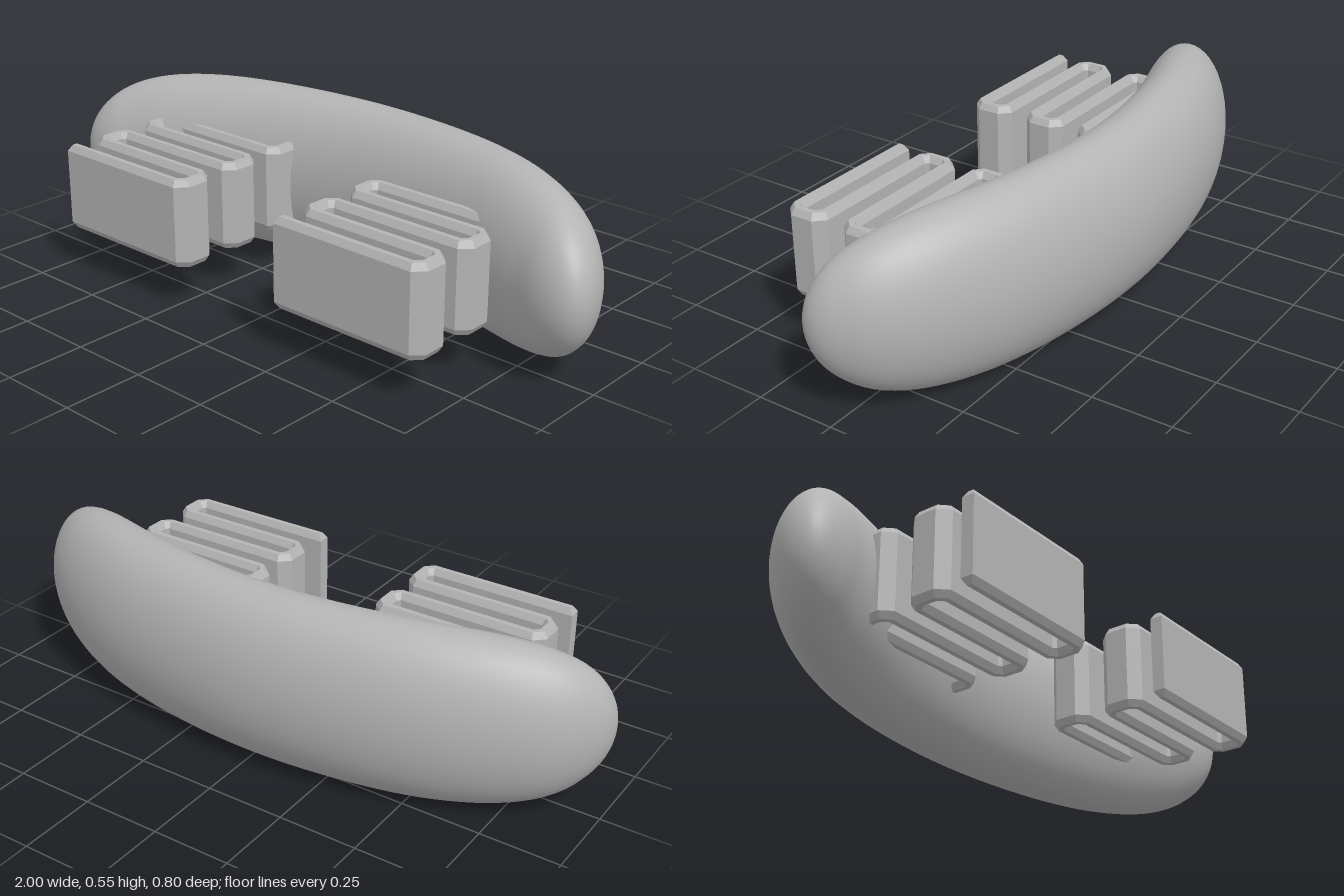
import * as THREE from 'three';
import { mergeVertices } from 'three/addons/utils/BufferGeometryUtils.js';

const grey = new THREE.MeshStandardMaterial({ color: 0xb4b4b4 });
grey.name = 'grey';

// Curved bar: a sphere stretched along a bowed centre line, with blunt rounded ends
function makeBar() {
  const half = [[0, -0.24], [0.3, -0.215], [0.55, -0.157], [0.8, -0.05], [0.9, 0.025], [0.975, 0.088]];
  const left = half.slice(1).reverse().map(([x, z]) => [-x, z]);
  const curve = new THREE.CatmullRomCurve3([...left, ...half].map(([x, z]) => new THREE.Vector3(x, 0, z)));
  let geo = new THREE.SphereGeometry(1, 48, 72).rotateZ(-Math.PI / 2);
  const pos = geo.attributes.position;
  for (let i = 0; i < pos.count; i++) {
    const t = THREE.MathUtils.clamp(pos.getX(i), -1, 1);
    const y = pos.getY(i), z = pos.getZ(i), r = Math.hypot(y, z) || 1;
    const size = Math.sqrt(Math.max(0, 1 - Math.abs(t) ** 5.7));
    const u = (t + 1) / 2;
    const c = curve.getPointAt(u), d = curve.getTangentAt(u);
    const out = 0.16 * size * z / r;
    pos.setXYZ(i, c.x - d.z * out, 0.278 + 0.277 * size * y / r, c.z + d.x * out);
  }
  geo.deleteAttribute('uv');
  geo.deleteAttribute('normal');
  geo = mergeVertices(geo, 1e-5);
  geo.computeBoundingBox();
  geo.scale(1 / geo.boundingBox.max.x, 1, 1);
  geo.computeVertexNormals();
  return geo;
}

// Folded spring: a zigzag strip seen from above, with cut corners and bevelled edges
function makeSpring() {
  const reach = 0.24, cut = 0.021, halfWidth = 0.008;
  const zs = [0.378, 0.279, 0.18, 0.083, -0.013, -0.11];
  const path = [];
  zs.forEach((z, i) => {
    const dir = i % 2 ? -1 : 1, s = -z;
    if (i > 0) path.push([-dir * reach, s - cut], [-dir * (reach - cut), s]);
    else path.push([-reach - 0.008, s]);
    if (i < zs.length - 1) path.push([dir * (reach - cut), s], [dir * reach, s + cut]);
    else path.push([dir * reach, s]);
  });
  const pts = path.map(([x, y]) => new THREE.Vector2(x, y));
  const normal = (a, b) => new THREE.Vector2(a.y - b.y, b.x - a.x).normalize();
  const side = (w) => pts.map((p, i) => {
    const n1 = normal(pts[Math.max(i - 1, 0)], pts[Math.max(i, 1)]);
    const last = pts.length - 1;
    const n2 = normal(pts[Math.min(i, last - 1)], pts[Math.min(i + 1, last)]);
    const k = w / (1 + n1.dot(n2));
    return n1.add(n2).multiplyScalar(k).add(p);
  });
  const shape = new THREE.Shape([...side(halfWidth), ...side(-halfWidth).reverse()]);
  return new THREE.ExtrudeGeometry(shape, {
    depth: 0.24, bevelEnabled: true, bevelSegments: 1, bevelSize: 0.012, bevelThickness: 0.02,
  }).rotateX(-Math.PI / 2).translate(0, 0.16, 0);
}

export function createModel() {
  const model = new THREE.Group();
  model.name = 'bumper';

  const bar = new THREE.Mesh(makeBar(), grey);
  bar.name = 'bumperBar';
  model.add(bar);

  // Two identical springs on the inner side of the bar
  const springGeo = makeSpring();
  for (const [name, x] of [['rightSpring', -0.447], ['leftSpring', 0.447]]) {
    const spring = new THREE.Mesh(springGeo, grey);
    spring.name = name;
    spring.position.x = x;
    model.add(spring);
  }
  return model;
}
